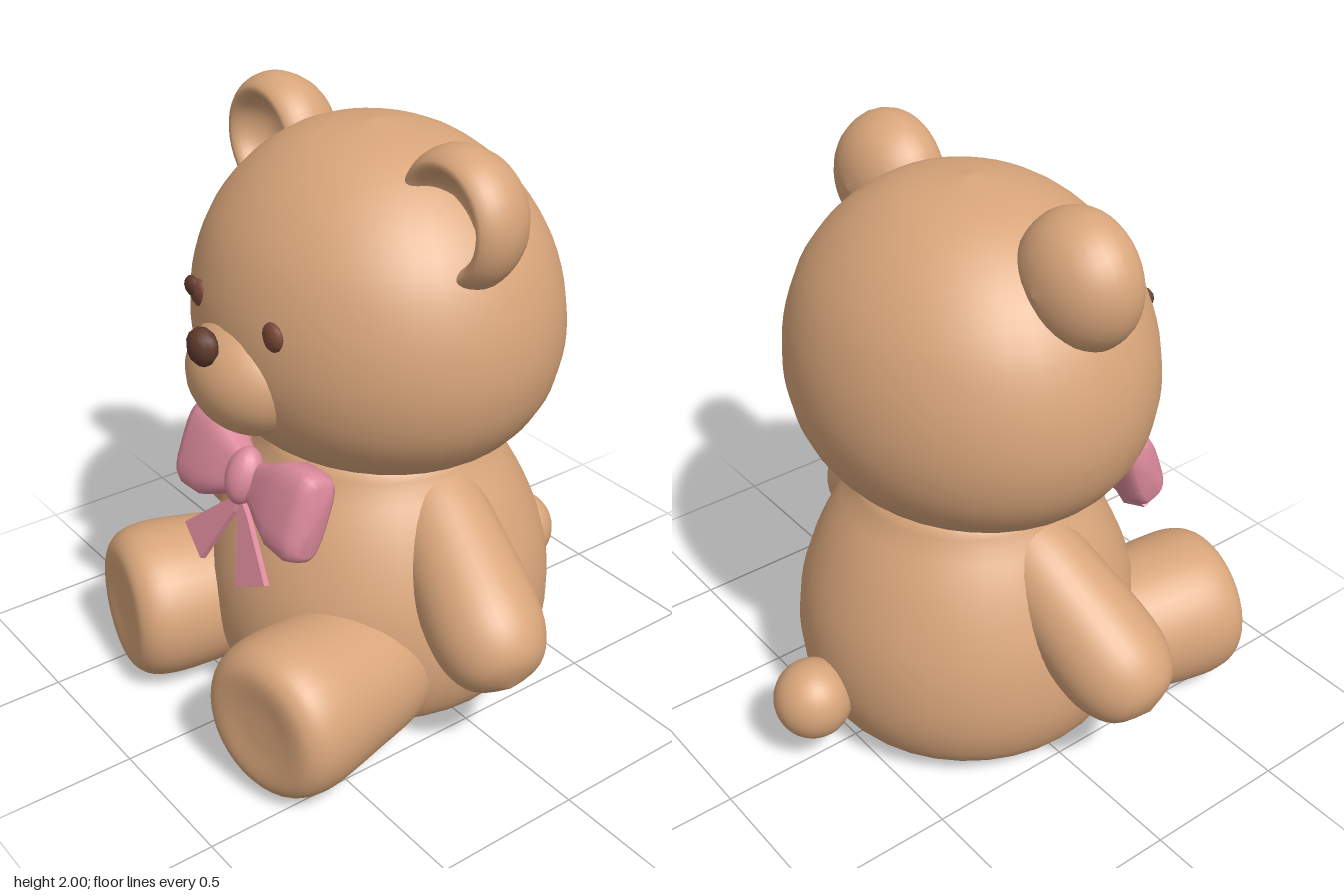
import * as THREE from 'three';

const mat = (name, color) => {
  const m = new THREE.MeshStandardMaterial({ color });
  m.name = name;
  return m;
};

// Smooth solid of revolution through [radius, height] points
function spin(pts, steps = 26, seg = 36) {
  const curve = new THREE.SplineCurve(pts.map(p => new THREE.Vector2(...p)));
  const profile = curve.getPoints(steps).map(p => new THREE.Vector2(Math.max(0, p.x), p.y));
  return new THREE.LatheGeometry(profile, seg);
}

// Skin of rounded-rectangle sections [x, halfHeight, halfDepth] along +x
function loft(sections, n = 24) {
  const pos = [], idx = [];
  const bulge = v => Math.sign(v) * Math.pow(Math.abs(v), 0.6);
  for (const [x, hy, hz] of sections)
    for (let i = 0; i < n; i++) {
      const a = (i / n) * Math.PI * 2;
      pos.push(x, hy * bulge(Math.cos(a)), hz * bulge(Math.sin(a)));
    }
  for (let s = 0; s < sections.length - 1; s++)
    for (let i = 0; i < n; i++) {
      const a = s * n + i, b = s * n + (i + 1) % n;
      idx.push(a, b, a + n, b, b + n, a + n);
    }
  const g = new THREE.BufferGeometry();
  g.setAttribute('position', new THREE.Float32BufferAttribute(pos, 3));
  g.setIndex(idx);
  g.computeVertexNormals();
  return g;
}

export function createModel() {
  const fur = mat('tan fur', 0xd8a57a);
  const pink = mat('pink ribbon', 0xdc8a9c);
  const noseBrown = mat('dark brown nose', 0x603a2d);
  const eyeBrown = mat('brown eyes', 0x7a4838);
  pink.side = THREE.DoubleSide;

  const model = new THREE.Group();
  model.name = 'teddyBear';
  const add = (name, geo, material, pos = [0, 0, 0], parent = model) => {
    const m = new THREE.Mesh(geo, material);
    m.name = name;
    m.position.set(...pos);
    parent.add(m);
    return m;
  };
  const aim = (mesh, x, y, z) =>
    mesh.quaternion.setFromUnitVectors(new THREE.Vector3(0, 1, 0), new THREE.Vector3(x, y, z).normalize());
  const ball = (name, material, pos, scale, w = 28, h = 18) =>
    add(name, new THREE.SphereGeometry(1, w, h), material, pos).scale.set(...scale);

  // Pear-shaped body with a flat seat
  add('body', spin([[0, 0.004], [0.2, 0.004], [0.37, 0.008], [0.5, 0.07], [0.565, 0.19], [0.585, 0.34],
    [0.562, 0.52], [0.49, 0.71], [0.4, 0.86], [0.32, 0.96], [0, 1.02]], 36), fur, [0, 0, -0.01]);

  // Head, wider than deep and flattened underneath
  add('head', spin([[0, 0.9], [0.2, 0.905], [0.36, 0.925], [0.49, 0.99], [0.585, 1.1], [0.632, 1.22],
    [0.645, 1.35], [0.622, 1.5], [0.553, 1.66], [0.42, 1.81], [0.24, 1.915], [0, 1.957]], 36), fur)
    .scale.z = 0.88;

  // Face
  ball('muzzle', fur, [-0.015, 1.24, 0.465], [0.23, 0.195, 0.195]);
  ball('nose', noseBrown, [-0.015, 1.37, 0.635], [0.062, 0.062, 0.045], 10, 7);
  ball('leftEye', eyeBrown, [0.2, 1.45, 0.526], [0.045, 0.046, 0.022], 12, 8);
  ball('rightEye', eyeBrown, [-0.205, 1.45, 0.526], [0.045, 0.046, 0.02], 12, 8);
  ball('rightEyeBead', noseBrown, [-0.228, 1.468, 0.535], [0.034, 0.034, 0.02], 8, 6);

  // Round tail
  ball('tail', fur, [0, 0.26, -0.658], [0.132, 0.137, 0.132]);

  const earGeo = spin([[0, -0.135], [0.09, -0.118], [0.17, -0.065], [0.213, 0.02], [0.205, 0.09],
    [0.175, 0.128], [0.148, 0.115], [0.125, 0.065], [0.075, 0.02], [0, 0.01]]);
  const armGeo = spin([[0, -0.17], [0.1, -0.125], [0.155, 0], [0.175, 0.2], [0.187, 0.42],
    [0.167, 0.54], [0.11, 0.62], [0, 0.655]]);
  const legGeo = spin([[0, 0], [0.18, 0.01], [0.235, 0.15], [0.255, 0.35], [0.267, 0.52],
    [0.255, 0.61], [0.22, 0.657], [0.17, 0.672], [0.08, 0.664], [0, 0.662]], 34);

  for (const [side, s] of [['left', 1], ['right', -1]]) {
    // Cupped ear opening forwards
    aim(add(side + 'Ear', earGeo, fur, [s * 0.458, 1.785, 0]), 0, 0, 1);
    // Arm hanging outwards from the shoulder
    aim(add(side + 'Arm', armGeo, fur, [s * 0.3, 0.76, 0]), s * 0.37, -0.28, 0.07);
    // Leg stretched forwards, toes turned out
    aim(add(side + 'Leg', legGeo, fur, [s * 0.29, 0.255, 0.115]), s * 0.13, 0.02, 0.66);
  }

  // Bow tie, tilted to lie on the chest
  const bow = new THREE.Group();
  bow.name = 'bow';
  bow.position.set(-0.008, 0.868, 0.485);
  bow.rotation.x = -0.36;
  model.add(bow);

  const loopGeo = loft([[0.02, 0.065, 0.04], [0.07, 0.08, 0.05], [0.13, 0.112, 0.065], [0.2, 0.145, 0.075],
    [0.29, 0.15, 0.075], [0.325, 0.138, 0.065], [0.342, 0.115, 0.045], [0.345, 0.0, 0.0]]);
  for (const [side, s] of [['left', 1], ['right', -1]]) {
    const loop = add(side + 'BowLoop', loopGeo, pink, [0, 0, 0], bow);
    if (s < 0) loop.rotation.y = Math.PI;

    // Flaring ribbon end
    const ribbon = new THREE.Shape([[0.0, -0.06], [0.07, -0.11], [0.235, -0.26], [0.105, -0.33], [0.01, -0.12]]
      .map(([x, y]) => new THREE.Vector2(s * x, y)));
    add(side + 'BowTail', new THREE.ExtrudeGeometry(ribbon, { depth: 0.02, bevelEnabled: false }),
      pink, [0, 0, 0.01], bow);
  }
  const knot = add('bowKnot', new THREE.SphereGeometry(1, 16, 12), pink, [0, 0.01, 0.035], bow);
  knot.scale.set(0.062, 0.097, 0.06);

  return model;
}
